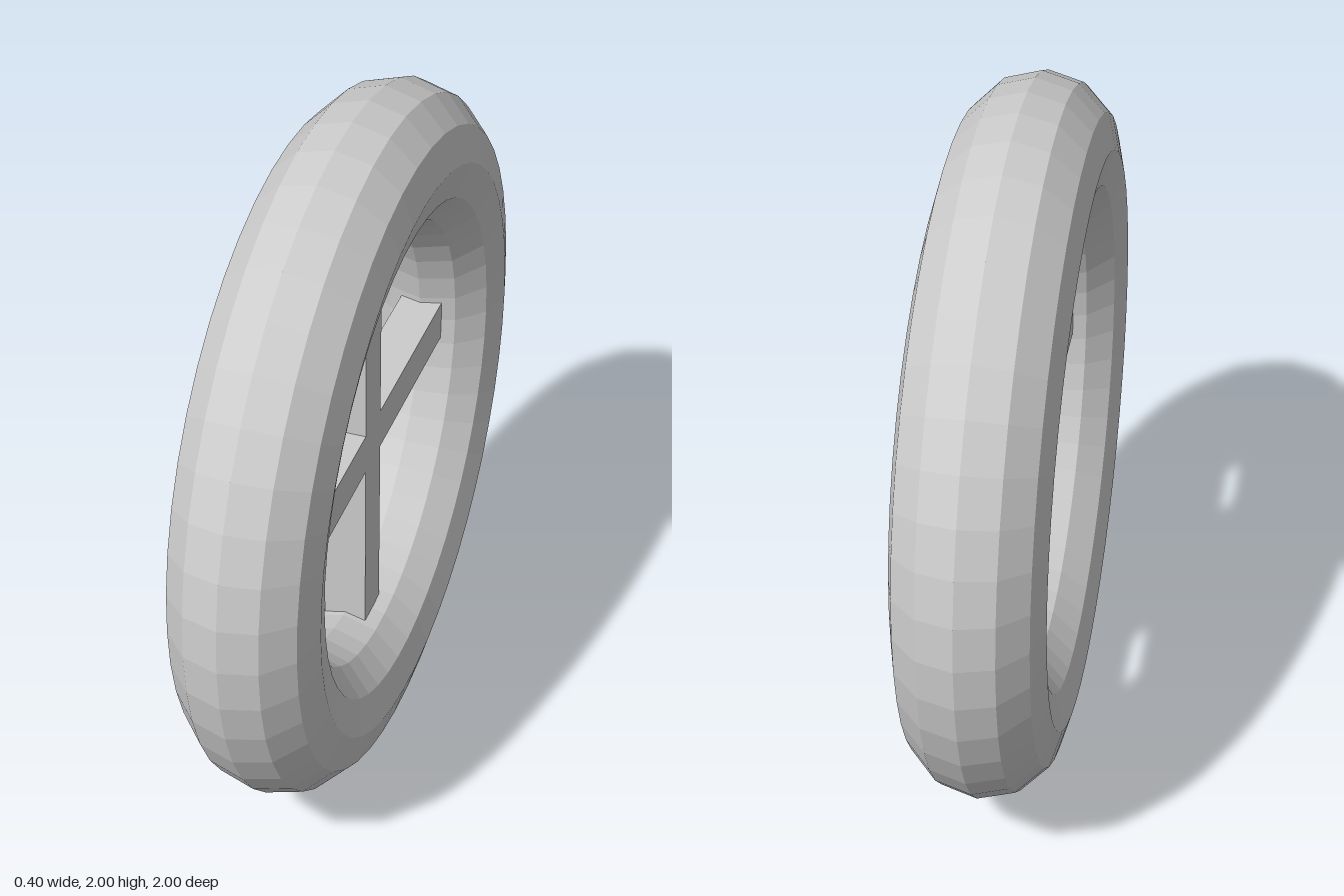
import * as THREE from 'three';

export function createModel() {
  const group = new THREE.Group();
  const material = new THREE.MeshStandardMaterial({ color: 0xcccccc, flatShading: true });

  // Faceted ring standing upright in the yz plane
  const rim = new THREE.Mesh(new THREE.TorusGeometry(0.8, 0.2, 12, 48), material);
  rim.name = 'rim';

  // Four square spokes as one cross, ends sunk slightly into the rim
  const w = 0.0615, r = 0.615;
  const outline = [
    [w, w], [w, r], [-w, r], [-w, w], [-r, w], [-r, -w],
    [-w, -w], [-w, -r], [w, -r], [w, -w], [r, -w], [r, w],
  ].map(([x, y]) => new THREE.Vector2(x, y));
  const spokeGeometry = new THREE.ExtrudeGeometry(new THREE.Shape(outline), { depth: 2 * w, bevelEnabled: false });
  spokeGeometry.translate(0, 0, -w);
  const spokes = new THREE.Mesh(spokeGeometry, material);
  spokes.name = 'spokes';

  // Turn the wheel so its axle runs along x, resting on the ground
  const wheel = new THREE.Group();
  wheel.name = 'wheel';
  wheel.add(rim, spokes);
  wheel.rotation.y = Math.PI / 2;
  wheel.position.y = 1;
  group.add(wheel);
  return group;
}
